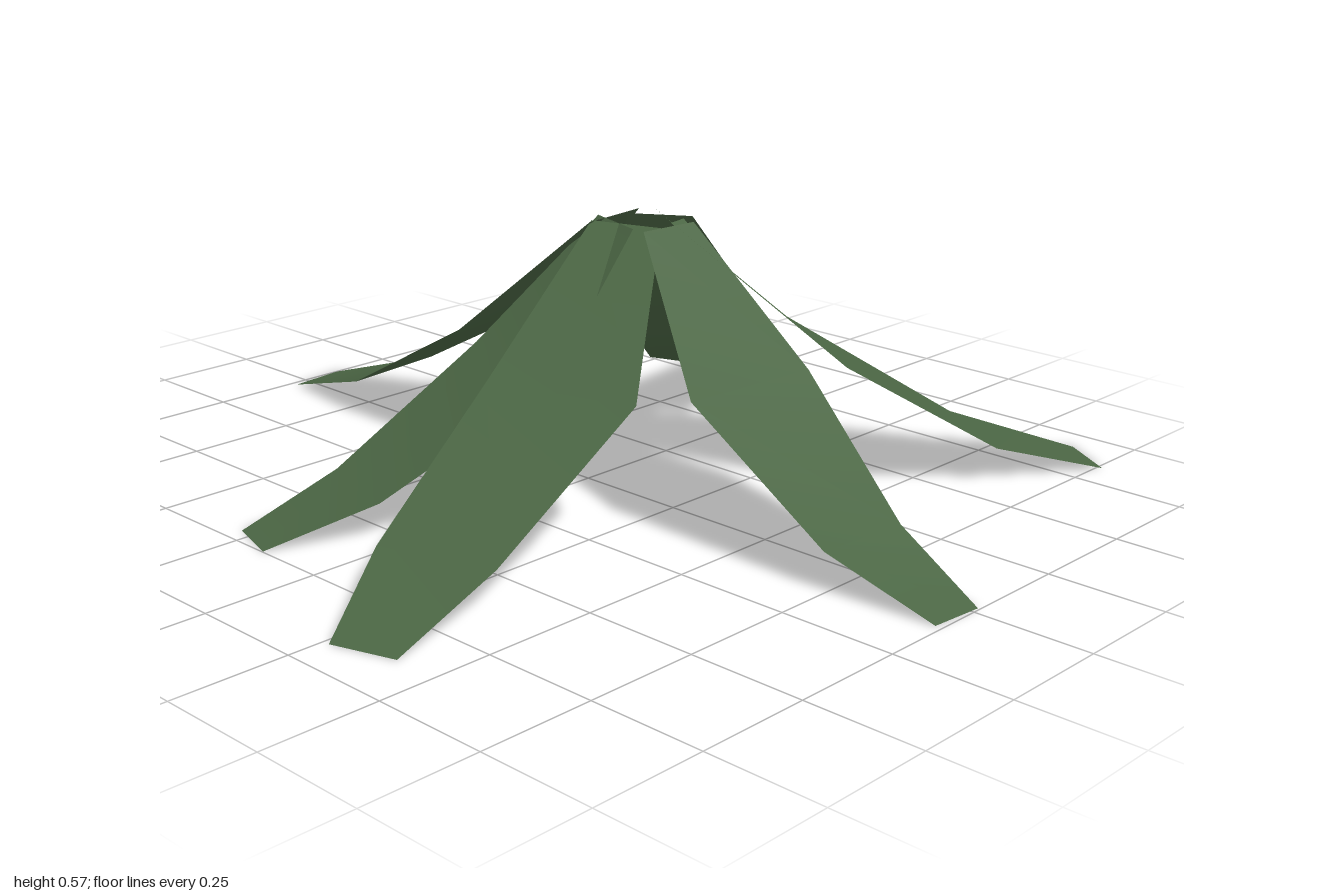
import * as THREE from 'three';

const leafGreen = new THREE.MeshStandardMaterial({ color: 0x4b6644, side: THREE.DoubleSide });
leafGreen.name = 'leaf green';

// Heights of the root, widest, narrowing and tip cross-sections
const heights = [0.58, 0.305, 0.087, 0.005];

// Each leaf: centre [x, z] of the four sections, heading in degrees
// (0 = +z, 90 = +x) and the section widths
const leaves = [
  { name: 'backLeaf', heading: 186, widths: [0.17, 0.38, 0.26, 0.14],
    centres: [[0.075, 0.005], [0.08, -0.31], [0.05, -0.71], [0.03, -0.992]] },
  { name: 'frontLeaf', heading: -5, widths: [0.14, 0.33, 0.215, 0.12],
    centres: [[0.075, 0.16], [0.035, 0.425], [-0.018, 0.755], [-0.04, 0.99]] },
  { name: 'frontLeftLeaf', heading: 57.5, widths: [0.18, 0.4, 0.26, 0.144],
    centres: [[0.132, 0.1], [0.372, 0.32], [0.66, 0.54], [0.882, 0.7]] },
  { name: 'backLeftLeaf', heading: 123, widths: [0.14, 0.34, 0.23, 0.126],
    centres: [[0.145, 0.07], [0.37, -0.055], [0.62, -0.24], [0.82, -0.378]] },
  { name: 'backRightLeaf', heading: 253, widths: [0.15, 0.345, 0.23, 0.126],
    centres: [[0.03, 0.05], [-0.198, -0.028], [-0.518, -0.148], [-0.73, -0.225]] },
  { name: 'frontRightLeaf', heading: 288, widths: [0.16, 0.335, 0.26, 0.142],
    centres: [[0.03, 0.08], [-0.275, 0.193], [-0.655, 0.25], [-0.9, 0.333]] },
];

// Lofts a flat strip through cross-sections given as [x, y, z, width]
function strip(sections, heading) {
  const a = THREE.MathUtils.degToRad(heading);
  const position = [], index = [];
  sections.forEach(([x, y, z, w], i) => {
    const dx = Math.cos(a) * w / 2, dz = -Math.sin(a) * w / 2;
    position.push(x - dx, y, z - dz, x + dx, y, z + dz);
    if (i > 0) {
      const k = 2 * i;
      index.push(k - 2, k, k + 1, k - 2, k + 1, k - 1);
    }
  });
  const geometry = new THREE.BufferGeometry();
  geometry.setAttribute('position', new THREE.Float32BufferAttribute(position, 3));
  geometry.setIndex(index);
  geometry.computeVertexNormals();
  return geometry;
}

export function createModel() {
  const group = new THREE.Group();
  group.name = 'leafRosette';

  // Six drooping leaves
  for (const { name, heading, widths, centres } of leaves) {
    const sections = centres.map(([x, z], i) => [x, heights[i], z, widths[i]]);
    const leaf = new THREE.Mesh(strip(sections, heading), leafGreen);
    leaf.name = name;
    group.add(leaf);
  }

  // Small pointed stub curling over the crown
  const stub = new THREE.Mesh(
    strip([[0.145, 0.575, 0.12, 0.05], [0.172, 0.47, 0.25, 0.006]], 10), leafGreen);
  stub.name = 'crownStub';
  group.add(stub);

  return group;
}
